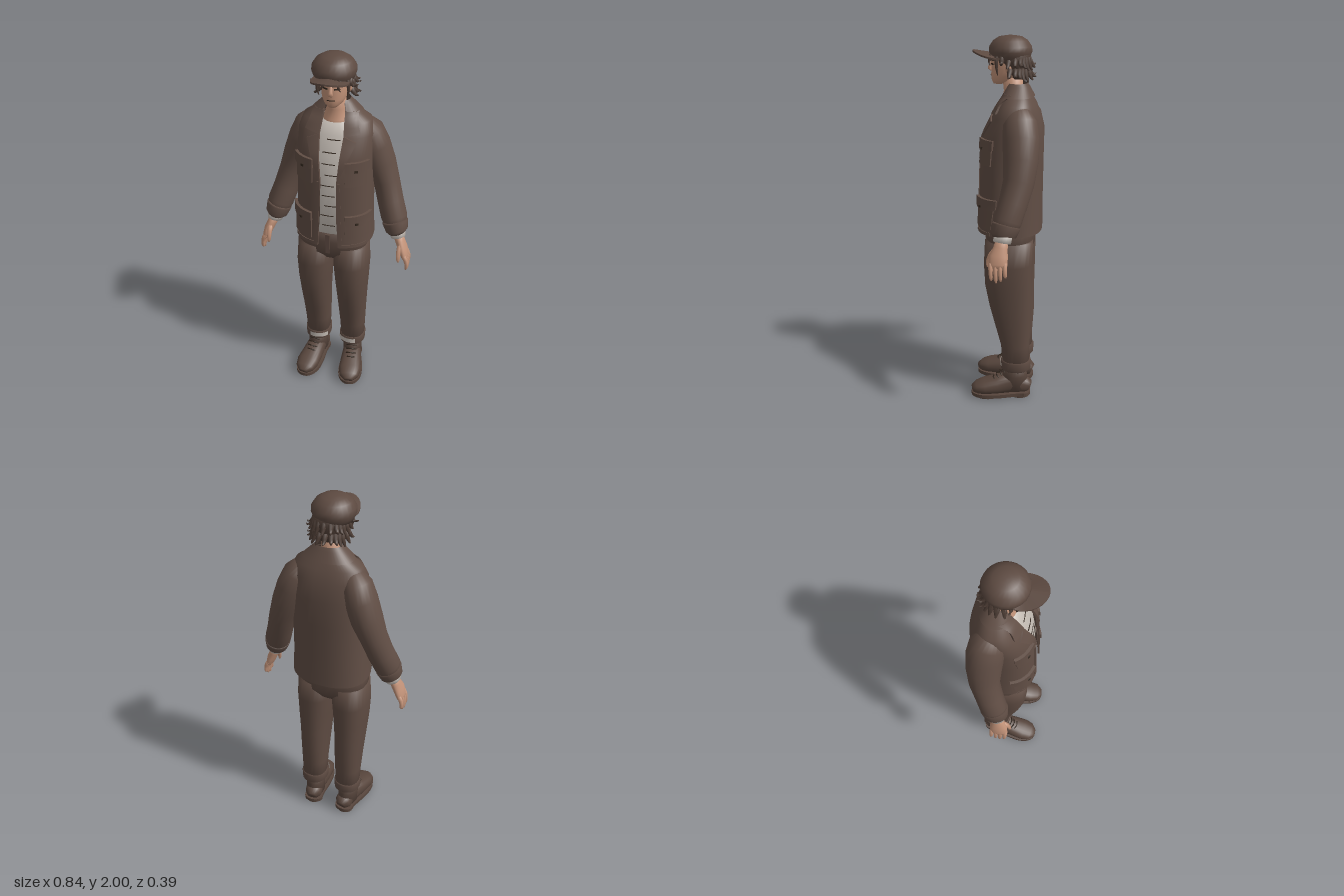
import * as THREE from 'three';

const mat = (name, color, side = THREE.FrontSide) => {
  const m = new THREE.MeshStandardMaterial({ color, side });
  m.name = name;
  return m;
};

// Sweep elliptical rings [x, y, z, ru, rv, openHalfWidth] along their centres.
// flat keeps rings horizontal (list them top to bottom); n sets the squareness.
function loft(rings, { n = 2, seg = 24, flat = false, open = false, arc = 0 } = {}) {
  const pos = [], idx = [], X = new THREE.Vector3(1, 0, 0);
  const C = rings.map(r => new THREE.Vector3(r[0], r[1], r[2]));
  const partial = open || arc > 0, cols = partial ? seg + 1 : seg;
  const pw = v => Math.sign(v) * Math.abs(v) ** (2 / n);
  rings.forEach((r, i) => {
    const t = flat ? new THREE.Vector3(0, -1, 0)
      : C[Math.min(i + 1, C.length - 1)].clone().sub(C[Math.max(i - 1, 0)]).normalize();
    const u = X.clone().addScaledVector(t, -t.x).normalize(), v = t.clone().cross(u);
    const a0 = open ? Math.asin(Math.min(1, (r[5] / r[3]) ** (n / 2))) : arc ? -arc : 0;
    const a1 = arc ? arc : 2 * Math.PI - a0;
    for (let j = 0; j < cols; j++) {
      const a = partial ? a0 + (a1 - a0) * j / seg : 2 * Math.PI * j / seg;
      const p = C[i].clone().addScaledVector(u, r[3] * pw(Math.sin(a))).addScaledVector(v, r[4] * pw(Math.cos(a)));
      pos.push(p.x, p.y, p.z);
    }
  });
  const at = (i, j) => i * cols + j % cols, last = rings.length - 1;
  for (let i = 0; i < last; i++) for (let j = 0; j < seg; j++) {
    idx.push(at(i, j), at(i + 1, j), at(i, j + 1), at(i, j + 1), at(i + 1, j), at(i + 1, j + 1));
  }
  if (!partial) {
    const k = pos.length / 3;
    pos.push(...C[0].toArray(), ...C[last].toArray());
    for (let j = 0; j < seg; j++) idx.push(k, at(0, j), at(0, j + 1), k + 1, at(last, j + 1), at(last, j));
  }
  const g = new THREE.BufferGeometry();
  g.setAttribute('position', new THREE.Float32BufferAttribute(pos, 3));
  g.setIndex(idx);
  g.computeVertexNormals();
  return g;
}

// Profile rows: [y, half width, back z, front z, opening half width]
const rows = p => p.map(([y, rx, b, f, o]) => [0, y, (b + f) / 2, rx, (f - b) / 2, o]);

// Point on the front of a profile, raised by off
function frontPoint(profile, n, x, y, off) {
  let i = 0;
  while (i < profile.length - 2 && y < profile[i + 1][0]) i++;
  const A = profile[i], B = profile[i + 1], k = THREE.MathUtils.clamp((A[0] - y) / (A[0] - B[0]), 0, 1);
  const [rx, b, f] = [1, 2, 3].map(q => A[q] + (B[q] - A[q]) * k), c = (b + f) / 2, rz = (f - b) / 2;
  const s = THREE.MathUtils.clamp(x / rx, -0.98, 0.98), h = (1 - Math.abs(s) ** n) ** (1 / n);
  const N = new THREE.Vector2(Math.sign(s) * Math.abs(s) ** (n - 1) / rx, h ** (n - 1) / rz).normalize();
  return [s * rx + N.x * off, y, c + h * rz + N.y * off];
}

// Thin plate laid on a profile; corners: bottom inner, bottom outer, top outer, top inner
function patch(profile, n, corners, thick, s = 1, lift = 0) {
  let q = corners.map(([x, y]) => [x * s, y]);
  if (s < 0) q = [q[1], q[0], q[3], q[2]];
  const g = new THREE.BoxGeometry(1, 1, 1, 6, 6, 1), p = g.attributes.position;
  for (let i = 0; i < p.count; i++) {
    const u = p.getX(i) + 0.5, v = p.getY(i) + 0.5;
    const m = d => (q[0][d] * (1 - u) + q[1][d] * u) * (1 - v) + (q[3][d] * (1 - u) + q[2][d] * u) * v;
    p.setXYZ(i, ...frontPoint(profile, n, m(0), m(1), lift + (p.getZ(i) > 0 ? thick : -0.006)));
  }
  g.computeVertexNormals();
  return g;
}
const rect = (x0, x1, y0, y1) => [[x0, y0], [x1, y0], [x1, y1], [x0, y1]];

// Tapered strand or finger along a bent path
function strand(a, b, c, r0, r1, seg = 7) {
  const curve = new THREE.QuadraticBezierCurve3(...[a, b, c].map(p => new THREE.Vector3(...p)));
  return loft([0, 0.3, 0.6, 0.85, 1].map(t => {
    const r = (r0 + (r1 - r0) * t) * (t === 1 ? 0.55 : 1);
    return [...curve.getPoint(t).toArray(), r, r];
  }), { seg });
}

const JACKET = [[1.75, 0.07, -0.1, 0, 0.045], [1.7, 0.115, -0.125, 0.02, 0.055], [1.66, 0.175, -0.148, 0.045, 0.062],
  [1.6, 0.198, -0.172, 0.08, 0.064], [1.5, 0.2, -0.19, 0.13, 0.056], [1.35, 0.2, -0.188, 0.145, 0.042],
  [1.15, 0.202, -0.186, 0.152, 0.044], [0.98, 0.21, -0.186, 0.158, 0.056]];
const SHIRT = [[1.66, 0.085, -0.11, 0.038], [1.6, 0.15, -0.14, 0.066], [1.5, 0.17, -0.16, 0.112],
  [1.35, 0.17, -0.16, 0.13], [1.05, 0.17, -0.15, 0.136]];
const HEAD = [[1.96, 0.04, -0.06, 0.04], [1.92, 0.068, -0.095, 0.08], [1.87, 0.071, -0.095, 0.088], [1.835, 0.069, -0.09, 0.087],
  [1.8, 0.062, -0.07, 0.088], [1.775, 0.047, -0.03, 0.085], [1.757, 0.024, 0.02, 0.075]];

export function createModel() {
  const root = new THREE.Group();
  const jacketM = mat('jacket brown', 0x614e45, THREE.DoubleSide), trouserM = mat('trouser brown', 0x5e4b42);
  const capM = mat('cap brown', 0x5d4a41), hairM = mat('hair brown', 0x4b3b33), bootM = mat('boot brown', 0x58463d);
  const skinM = mat('skin', 0xc4947a), shirtM = mat('shirt cream', 0xc6beb6, THREE.DoubleSide), darkM = mat('dark brown', 0x33281f);
  const add = (name, geo, m, parent = root) => {
    const mesh = new THREE.Mesh(geo, m);
    mesh.name = name;
    parent.add(mesh);
    return mesh;
  };

  // Head and neck
  add('head', loft(rows(HEAD), { flat: true }), skinM);
  add('neck', loft(rows([[1.79, 0.048, -0.075, 0.03], [1.72, 0.05, -0.08, 0.022], [1.67, 0.066, -0.09, 0.034],
    [1.61, 0.09, -0.1, 0.055]]), { flat: true }), skinM);
  add('nose', loft([[0, 1.872, 0.083, 0.008, 0.008], [0, 1.845, 0.092, 0.011, 0.011], [0, 1.832, 0.094, 0.014, 0.011],
    [0, 1.822, 0.088, 0.009, 0.006]], { flat: true, seg: 10 }), skinM);
  add('mouth', patch(HEAD, 2, rect(-0.02, 0.02, 1.798, 1.802), 0.002), darkM);
  for (const s of [1, -1]) {
    add('eye', patch(HEAD, 2, rect(0.017, 0.042, 1.855, 1.863), 0.002, s), darkM);
    add('eyebrow', patch(HEAD, 2, [[0.015, 1.874], [0.046, 1.876], [0.046, 1.882], [0.015, 1.88]], 0.003, s), hairM);
    add('ear', new THREE.SphereGeometry(1, 12, 8).scale(0.012, 0.026, 0.018).translate(0.073 * s, 1.842, -0.01), skinM);
  }

  // Hair: back shell plus curling tufts
  const hair = loft(rows([[1.92, 0.09, -0.115, 0.06], [1.87, 0.088, -0.12, 0.05], [1.82, 0.075, -0.11, 0.01],
    [1.785, 0.055, -0.092, -0.02]]), { flat: true });
  add('hairBack', hair, hairM);
  for (let i = 0; i < 26; i++) {
    const a = 1.35 + (i % 13) / 12 * 3.6, low = i > 12, w = Math.sin(i * 7.3);
    const q = (r, y) => [Math.sin(a + 0.1 * w) * r, y, -0.03 + Math.cos(a + 0.1 * w) * r];
    const y = low ? 1.835 : 1.89;
    add('hairTuft', strand(q(0.075, y), q(0.1, y - 0.05), q(0.113 + 0.008 * w, y - 0.045 + 0.018 * w), 0.016, 0.003), hairM);
  }
  for (const s of [1, -1]) {
    add('sideCurl', strand([0.075 * s, 1.9, 0.02], [0.085 * s, 1.845, 0.03], [0.122 * s, 1.872, 0.02], 0.017, 0.003), hairM);
    add('sideLock', strand([0.072 * s, 1.9, 0.05], [0.088 * s, 1.85, 0.055], [0.07 * s, 1.805, 0.045], 0.012, 0.003), hairM);
    add('fringe', strand([0.045 * s, 1.905, 0.08], [0.03 * s, 1.88, 0.105], [0.05 * s, 1.85, 0.085], 0.012, 0.002), hairM);
  }

  // Flat cap with brim
  const cap = new THREE.Group();
  cap.name = 'cap';
  cap.position.set(-0.008, 0, -0.012);
  root.add(cap);
  add('capCrown', loft([[2, 0.025], [1.994, 0.06], [1.975, 0.09], [1.945, 0.11], [1.92, 0.112], [1.9, 0.104], [1.88, 0.096]]
    .map(([y, r]) => [0, y, 0, r, r]), { flat: true }), capM, cap);
  const brim = new THREE.CylinderGeometry(1, 1, 1, 28, 1).scale(0.094, 0.009, 0.122), bp = brim.attributes.position;
  for (let i = 0; i < bp.count; i++) bp.setY(i, bp.getY(i) - bp.getX(i) ** 2 * 2.2 + Math.max(0, bp.getZ(i)) * 0.12);
  brim.computeVertexNormals();
  add('capBrim', brim.translate(0, 1.908, 0.074), capM, cap);

  // Striped shirt
  add('shirt', loft(rows(SHIRT), { flat: true, n: 2.3 }), shirtM);
  for (let i = 0; i < 9; i++) {
    const x = 0.012 * Math.sin(i * 4.1);
    add('shirtStripe', patch(SHIRT, 2.3, rect(x - 0.035, x + 0.035, 1.1 + i * 0.06, 1.1035 + i * 0.06), 0.002), darkM);
  }

  // Jacket body, collar, lapels and pockets
  add('jacketBody', loft(rows(JACKET), { flat: true, open: true, n: 2.4, seg: 48 }), jacketM);
  add('collar', loft(rows([[1.762, 0.066, -0.102, 0, 0.045], [1.745, 0.082, -0.114, 0.012, 0.052],
    [1.695, 0.132, -0.14, 0.034, 0.066]]), { flat: true, open: true, n: 2.3, seg: 32 }), jacketM);
  const onJacket = (name, corners, thick, s, lift = 0) => add(name, patch(JACKET, 2.4, corners, thick, s, lift), jacketM);
  for (const s of [1, -1]) {
    onJacket('lapel', [[0.042, 1.37], [0.046, 1.37], [0.125, 1.58], [0.062, 1.61]], 0.008, s);
    onJacket('collarPoint', [[0.062, 1.61], [0.138, 1.62], [0.105, 1.71], [0.052, 1.715]], 0.012, s);
    onJacket('frontPlacket', [[0.054, 0.982], [0.075, 0.982], [0.06, 1.37], [0.042, 1.37]], 0.005, s);
    onJacket('hem', rect(0.058, 0.19, 0.982, 1), 0.004, s);
    for (const [x0, x1, y0, y1] of [[0.085, 0.178, 1.355, 1.49], [0.09, 0.192, 1.02, 1.18]]) {
      onJacket('pocket', rect(x0, x1, y0, y1 - 0.01), 0.009, s);
      const xm = (x0 + x1) / 2;
      onJacket('pocketFlapInner', [[x0 - 0.004, y1 - 0.05], [xm, y1 - 0.068], [xm, y1], [x0 - 0.004, y1]], 0.009, s, 0.008);
      onJacket('pocketFlapOuter', [[xm, y1 - 0.068], [x1 + 0.004, y1 - 0.05], [x1 + 0.004, y1], [xm, y1]], 0.009, s, 0.008);
      add('pocketButton', patch(JACKET, 2.4, rect(xm - 0.006, xm + 0.006, y1 - 0.052, y1 - 0.04), 0.004, s, 0.017), darkM);
    }
  }

  // Arms and hands
  for (const s of [1, -1]) {
    const arm = new THREE.Group();
    arm.name = s > 0 ? 'leftArm' : 'rightArm';
    root.add(arm);
    const limb = (name, r, m) => add(name, loft(r.map(([x, ...k]) => [x * s, ...k])), m, arm);
    limb('sleeve', [[0.12, 1.635, -0.06, 0.05, 0.06], [0.155, 1.575, -0.075, 0.08, 0.09], [0.185, 1.5, -0.085, 0.085, 0.095],
      [0.22, 1.4, -0.088, 0.082, 0.09], [0.258, 1.3, -0.082, 0.069, 0.08], [0.29, 1.19, -0.055, 0.069, 0.074],
      [0.318, 1.11, -0.03, 0.07, 0.073], [0.333, 1.055, -0.018, 0.056, 0.064]], jacketM);
    limb('sleeveCuff', [[0.322, 1.095, -0.025, 0.063, 0.07], [0.325, 1.085, -0.023, 0.069, 0.075],
      [0.338, 1.04, -0.012, 0.06, 0.066], [0.34, 1.033, -0.012, 0.05, 0.055]], jacketM);
    limb('shirtCuff', [[0.338, 1.045, -0.012, 0.042, 0.048], [0.349, 1.005, -0.006, 0.041, 0.046]], shirtM);
    limb('palm', [[0.346, 1.02, -0.008, 0.028, 0.032], [0.362, 0.98, 0, 0.026, 0.037], [0.38, 0.94, 0.008, 0.025, 0.048],
      [0.394, 0.9, 0.01, 0.02, 0.048], [0.4, 0.882, 0.01, 0.012, 0.04]], skinM);
    for (let i = 0; i < 4; i++) {
      const z = -0.026 + i * 0.024, tip = 0.81 + [0.028, 0.008, 0, 0.012][i];
      add('finger', strand([0.392 * s, 0.91, z], [0.418 * s, 0.87, z], [0.408 * s, tip, z - 0.004], 0.0135, 0.009), skinM, arm);
    }
    add('thumb', strand([0.368 * s, 0.965, 0.03], [0.362 * s, 0.93, 0.068], [0.368 * s, 0.88, 0.065], 0.016, 0.009), skinM, arm);
  }

  // Trousers
  const lower = new THREE.Group();
  lower.name = 'lowerBody';
  lower.position.x = -0.01;
  root.add(lower);
  add('hips', loft(rows([[1.06, 0.17, -0.14, 0.115], [0.98, 0.19, -0.15, 0.122], [0.9, 0.195, -0.148, 0.115],
    [0.84, 0.13, -0.11, 0.07]]), { flat: true, n: 2.4 }), trouserM, lower);
  add('fly', new THREE.BoxGeometry(0.025, 0.12, 0.008).translate(0, 0.97, 0.121), trouserM, lower);
  for (const s of [1, -1]) {
    const leg = new THREE.Group();
    leg.name = s > 0 ? 'leftLeg' : 'rightLeg';
    lower.add(leg);
    add('trouserLeg', loft([[0.1, 0.93, -0.014, 0.096, 0.13], [0.104, 0.8, -0.01, 0.1, 0.132], [0.106, 0.68, -0.012, 0.092, 0.128],
      [0.106, 0.56, -0.022, 0.084, 0.115], [0.105, 0.44, -0.038, 0.078, 0.1], [0.105, 0.32, -0.05, 0.073, 0.08],
      [0.105, 0.2, -0.055, 0.068, 0.074]].map(([x, ...k]) => [x * s, ...k]), { flat: true, n: 2.3 }), trouserM, leg);
    const cuff = [[0.228, 0.066, 0.074], [0.222, 0.076, 0.084], [0.175, 0.074, 0.083], [0.165, 0.064, 0.072]];
    add('trouserCuff', loft(cuff.map(([y, a, b]) => [0.105 * s, y, -0.054, a, b]), { flat: true, n: 2.2 }), trouserM, leg);
    const lining = loft([[0, 0.221, 0, 0.079, 0.087], [0, 0.19, 0, 0.078, 0.086]], { flat: true, n: 2.2, arc: 0.7, seg: 10 });
    add('cuffLining', lining.rotateY(-0.25 * s).translate(0.105 * s, 0, -0.054), shirtM, leg);

    // Boot
    const boot = new THREE.Group();
    boot.name = 'boot';
    boot.position.set(0.107 * s, 0, -0.05);
    boot.rotation.y = 0.14 * s;
    leg.add(boot);
    add('bootShaft', loft([[0, 0.195, 0, 0.056, 0.066], [0, 0.13, 0.002, 0.055, 0.07], [0, 0.05, 0, 0.054, 0.078]],
      { flat: true }), bootM, boot);
    add('bootFoot', loft([[0, 0.055, -0.083, 0.03, 0.03], [0, 0.065, -0.06, 0.048, 0.045], [0, 0.08, 0.03, 0.054, 0.062],
      [0, 0.067, 0.1, 0.062, 0.05], [0, 0.058, 0.17, 0.066, 0.042], [0, 0.05, 0.215, 0.055, 0.032],
      [0, 0.042, 0.242, 0.026, 0.018]], { n: 2.3 }), bootM, boot);
    const sole = new THREE.Shape();
    sole.moveTo(0, -0.248);
    sole.bezierCurveTo(0.06, -0.248, 0.075, -0.17, 0.07, -0.12);
    sole.bezierCurveTo(0.066, -0.04, 0.045, 0, 0.055, 0.05);
    sole.bezierCurveTo(0.05, 0.1, -0.05, 0.1, -0.055, 0.05);
    sole.bezierCurveTo(-0.045, 0, -0.066, -0.04, -0.07, -0.12);
    sole.bezierCurveTo(-0.075, -0.17, -0.06, -0.248, 0, -0.248);
    add('bootSole', new THREE.ExtrudeGeometry(sole, { depth: 0.02, bevelEnabled: false }).rotateX(-Math.PI / 2).translate(0, 0.01, 0), bootM, boot);
    add('bootHeel', new THREE.CylinderGeometry(0.052, 0.05, 0.03, 20).scale(1, 1, 1.1).translate(0, 0.015, -0.028), bootM, boot);
    add('bootToeSole', new THREE.CylinderGeometry(0.062, 0.058, 0.015, 20).scale(1, 1, 1.3).translate(0, 0.0075, 0.155), bootM, boot);
    for (let i = 0; i < 4; i++) {
      const y = 0.165 - i * 0.016, z = 0.064 + i * 0.018;
      add('lace', strand([-0.03, y - 0.012, z - 0.006], [0, y + 0.012, z + 0.018], [0.03, y - 0.012, z - 0.006], 0.004, 0.004, 6), darkM, boot);
    }
  }
  return root;
}
